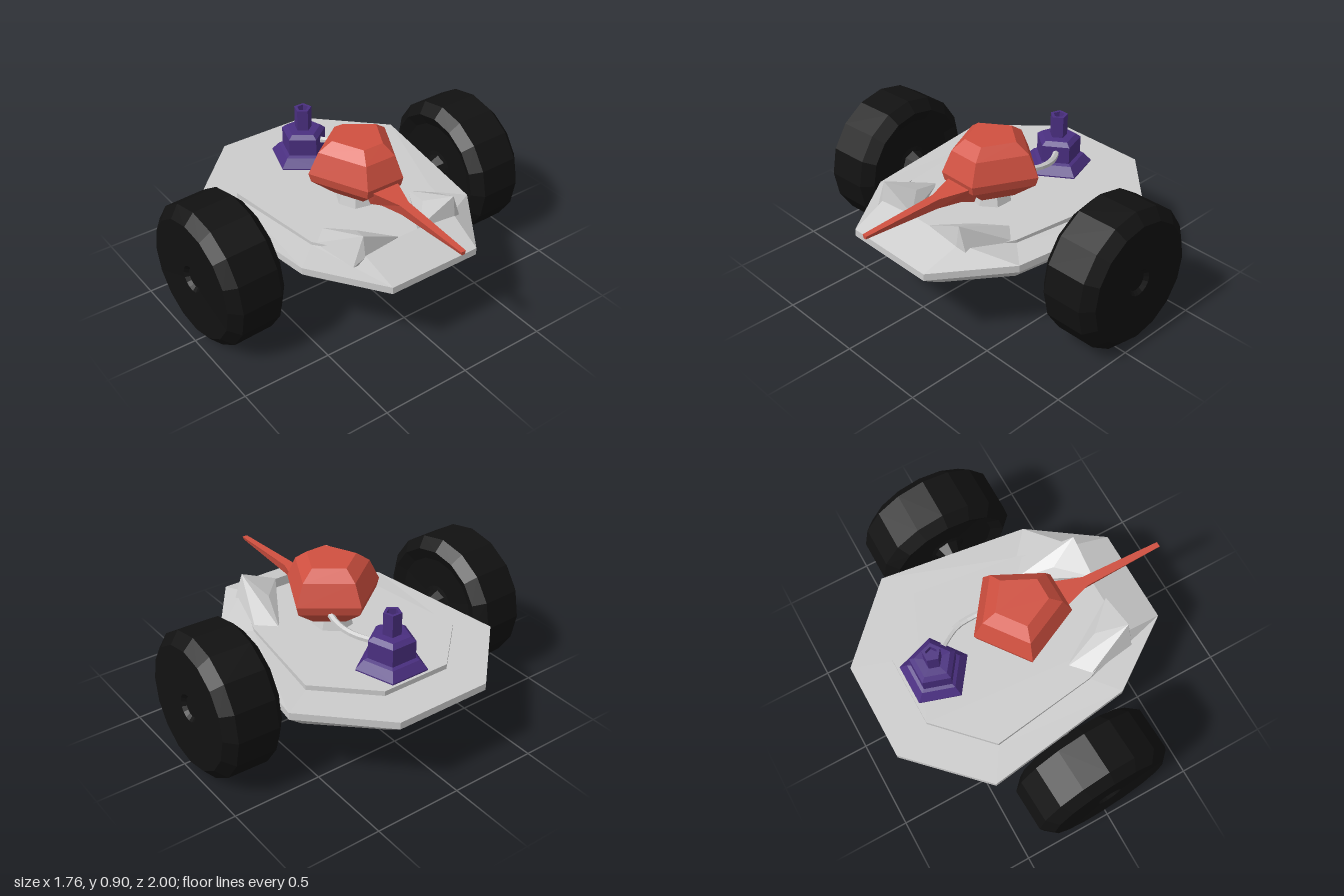
import * as THREE from 'three';
import { ConvexGeometry } from 'three/addons/geometries/ConvexGeometry.js';

const paint = (color) =>
  new THREE.MeshStandardMaterial({ color, flatShading: true, side: THREE.DoubleSide });
const grey = paint(0xcccccc);
const red = paint(0xd05040);
const purple = paint(0x4a2f80);
const black = paint(0x111111);

const mesh = (name, geometry, material) => {
  const m = new THREE.Mesh(geometry, material);
  m.name = name;
  return m;
};

// Skin a stack of rings (each a list of [x, y, z]), optionally capped at the ends
function loft(rings, capStart, capEnd) {
  const n = rings[0].length;
  const index = [];
  for (let r = 0; r < rings.length - 1; r++) {
    for (let i = 0; i < n; i++) {
      const a = r * n + i, b = r * n + (i + 1) % n;
      index.push(a, a + n, b, b, a + n, b + n);
    }
  }
  const last = (rings.length - 1) * n;
  for (let i = 1; i < n - 1; i++) {
    if (capStart) index.push(0, i, i + 1);
    if (capEnd) index.push(last, last + i + 1, last + i);
  }
  const g = new THREE.BufferGeometry();
  g.setAttribute('position', new THREE.Float32BufferAttribute(rings.flat(2), 3));
  g.setIndex(index);
  g.computeVertexNormals();
  return g;
}

const lathe = (points, sides) =>
  new THREE.LatheGeometry(points.map(([r, y]) => new THREE.Vector2(r, y)), sides);

// Eight-sided outline from one half, mirrored about the hull's midline; half = [x, y, z]
const MID = -0.01;
const outline = (half) => [
  ...half.map(([x, y, z]) => [x, y, MID + z]),
  ...half.map(([x, y, z]) => [x, y, MID - z]).reverse(),
];
const level = (plan, y) => outline(plan.map(([x, z]) => [x, y, z]));

// Open-bottomed shell with a bevelled rim and a raised deck
function hull() {
  const rim = [[-0.88, 0.275], [-0.5, 0.66], [0.33, 0.545], [0.72, 0.27]];
  const skirt = [[-0.72, 0.21], [-0.42, 0.53], [0.24, 0.43], [0.56, 0.2]];
  const deck = [[-0.665, 0.2], [-0.39, 0.485], [0.21, 0.405], [0.5, 0.29]];
  const lip = outline(deck.map(([x, z], i) => [x, [0.48, 0.48, 0.49, 0.565][i], z]));
  return mesh('hull', loft(
    [level(skirt, 0.31), level(rim, 0.44), level(rim, 0.48), lip, level(deck, 0.508)],
    false, true), grey);
}

// Angular guard beside the beak
function shield(side) {
  const points = [
    [0.13, 0.5, 0.29], [0.22, 0.5, 0.39], [0.5, 0.5, 0.35], [0.5, 0.5, 0.07],
    [0.33, 0.5, 0.19], [0.34, 0.58, 0.22], [0.5, 0.67, 0.29], [0.5, 0.57, 0.07],
    [0.52, 0.55, 0.29],
  ].map(([x, y, z]) => new THREE.Vector3(x, y, MID + z * side));
  return mesh(side > 0 ? 'leftShield' : 'rightShield', new ConvexGeometry(points), grey);
}

// Faceted pentagonal head with a long tapering beak
function head() {
  const g = new THREE.Group();
  g.name = 'head';
  const plan = [[-0.25, -0.04], [-0.05, -0.31], [0.27, -0.15], [0.27, 0.08], [-0.05, 0.23]];
  const cx = 0.03, cz = -0.04;
  const rings = [[0.57, 0.5], [0.67, 0.95], [0.72, 1], [0.84, 0.8], [0.895, 0.53]]
    .map(([y, s]) => plan.map(([x, z]) => [cx + (x - cx) * s, y, cz + (z - cz) * s]));
  g.add(mesh('skull', loft(rings, true, true), red));

  const sections = [
    // x, bottom, top, half width
    [0.2, 0.58, 0.7, 0.1], [0.28, 0.61, 0.692, 0.075],
    [0.42, 0.622, 0.685, 0.028], [0.88, 0.648, 0.668, 0.015],
  ].map(([x, lo, hi, w]) => [
    [x, lo, -0.04 - w * 0.5], [x, hi, -0.04 - w], [x, hi, -0.04 + w], [x, lo, -0.04 + w * 0.5],
  ]);
  g.add(mesh('beak', loft(sections, true, true), red));

  const neck = mesh('neck', new THREE.CylinderGeometry(0.09, 0.12, 0.1, 7), grey);
  neck.position.set(0.02, 0.54, -0.03);
  g.add(neck);
  return g;
}

// Five-sided stepped chimney with a hollow top
function chimney() {
  const m = mesh('chimney', lathe([
    [0.193, 0.485], [0.193, 0.515], [0.15, 0.562], [0.128, 0.57], [0.128, 0.67],
    [0.1, 0.692], [0.05, 0.695], [0.05, 0.82], [0.032, 0.82], [0.032, 0.78], [0, 0.78],
  ], 5), purple);
  m.rotation.y = Math.PI / 2;
  m.position.set(-0.493, 0, -0.035);
  return m;
}

// Bent pipe joining chimney and head
function pipe() {
  const path = new THREE.CatmullRomCurve3([
    [-0.42, 0.63, -0.09], [-0.36, 0.635, -0.13], [-0.29, 0.645, -0.16], [-0.2, 0.655, -0.165],
    [-0.1, 0.68, -0.15],
  ].map((p) => new THREE.Vector3(...p)));
  return mesh('pipe', new THREE.TubeGeometry(path, 8, 0.018, 6), grey);
}

// Chunky wheel with recessed hub and a flared stub axle, outer face towards local +z
function wheel(name) {
  const g = new THREE.Group();
  g.name = name;
  const tyre = lathe([
    [0, -0.15], [0.1, -0.13], [0.27, -0.14], [0.335, -0.17], [0.395, -0.115],
    [0.395, 0.115], [0.335, 0.17], [0.075, 0.165], [0.055, 0.145], [0, 0.145],
  ], 16).rotateX(Math.PI / 2);
  g.add(mesh('tyre', tyre, black));
  const axle = lathe([
    [0, -0.46], [0.028, -0.46], [0.03, -0.28], [0.05, -0.2], [0.085, -0.12],
  ], 8).rotateX(Math.PI / 2);
  g.add(mesh('axle', axle, black));
  return g;
}

export function createModel() {
  const model = new THREE.Group();
  model.name = 'rover';
  model.add(hull(), shield(1), shield(-1), head(), chimney(), pipe());

  const left = wheel('leftWheel');
  left.position.set(-0.02, 0.395, 0.813);
  left.rotation.set(0.01, 0.05, 0);
  const right = wheel('rightWheel');
  right.position.set(-0.08, 0.395, -0.825);
  right.rotation.set(0.02, Math.PI, 0);
  model.add(left, right);
  return model;
}
